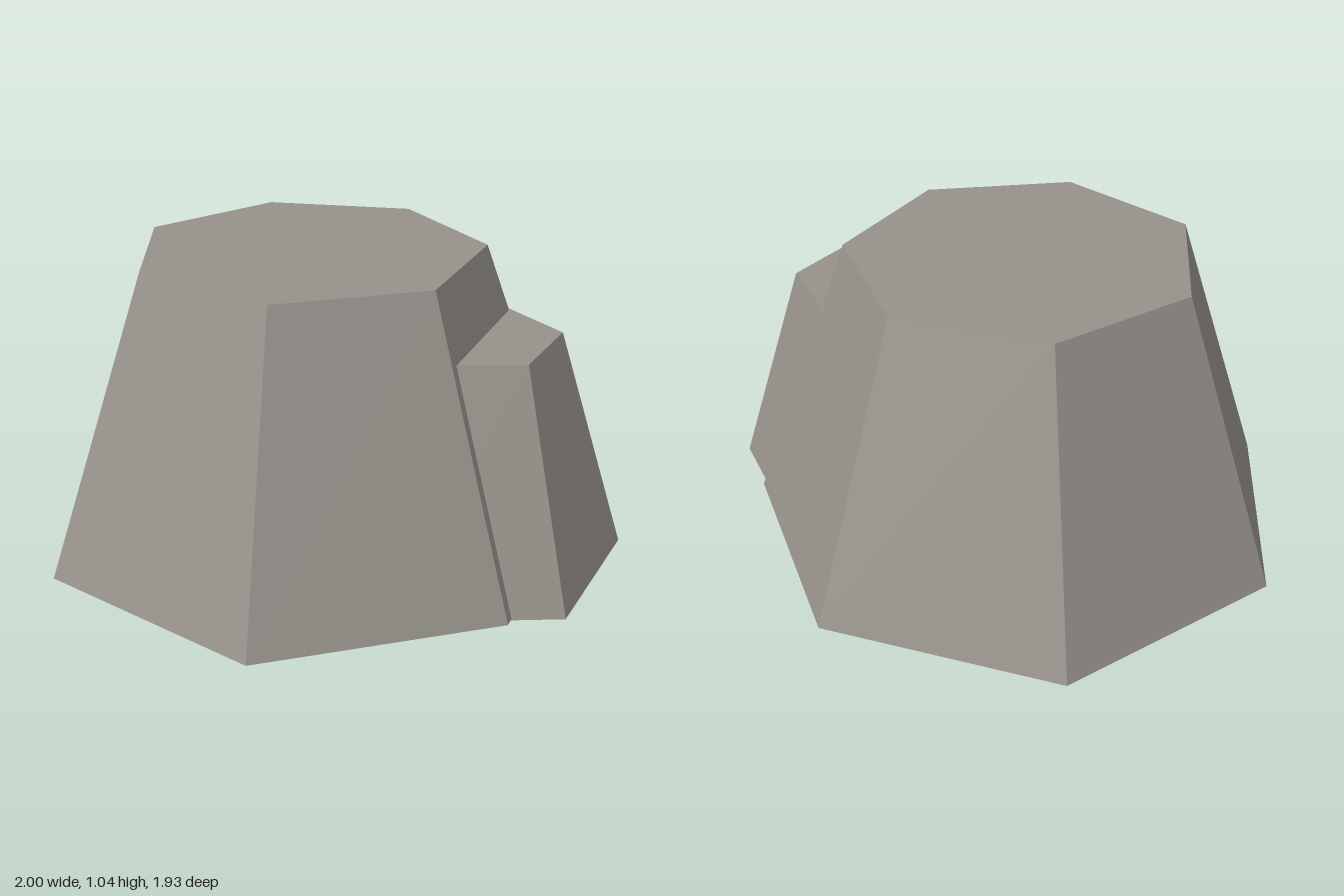
import * as THREE from 'three';

export function createModel() {
  const model = new THREE.Group();
  model.name = 'rockStump';
  const stone = new THREE.MeshStandardMaterial({ color: 0x97928b });
  stone.name = 'warm grey stone';

  // Tapered faceted block with one corner pointing to +x
  function taperedRock(name, sides, topRadius, baseRadius, y0, y1, x, z) {
    const geometry = new THREE.CylinderGeometry(
      topRadius, baseRadius, y1 - y0, sides, 1, false, Math.PI / 2
    ).toNonIndexed();
    geometry.computeVertexNormals(); // flat facets
    const mesh = new THREE.Mesh(geometry, stone);
    mesh.name = name;
    mesh.position.set(x, (y0 + y1) / 2, z);
    model.add(mesh);
  }

  // Large seven-sided rock and the smaller six-sided rock set into its side
  taperedRock('mainRock', 7, 0.617, 0.99, 0.005, 1.045, -0.108, 0);
  taperedRock('sideRock', 6, 0.33, 0.586, 0, 0.805, 0.411, 0.232);

  return model;
}
